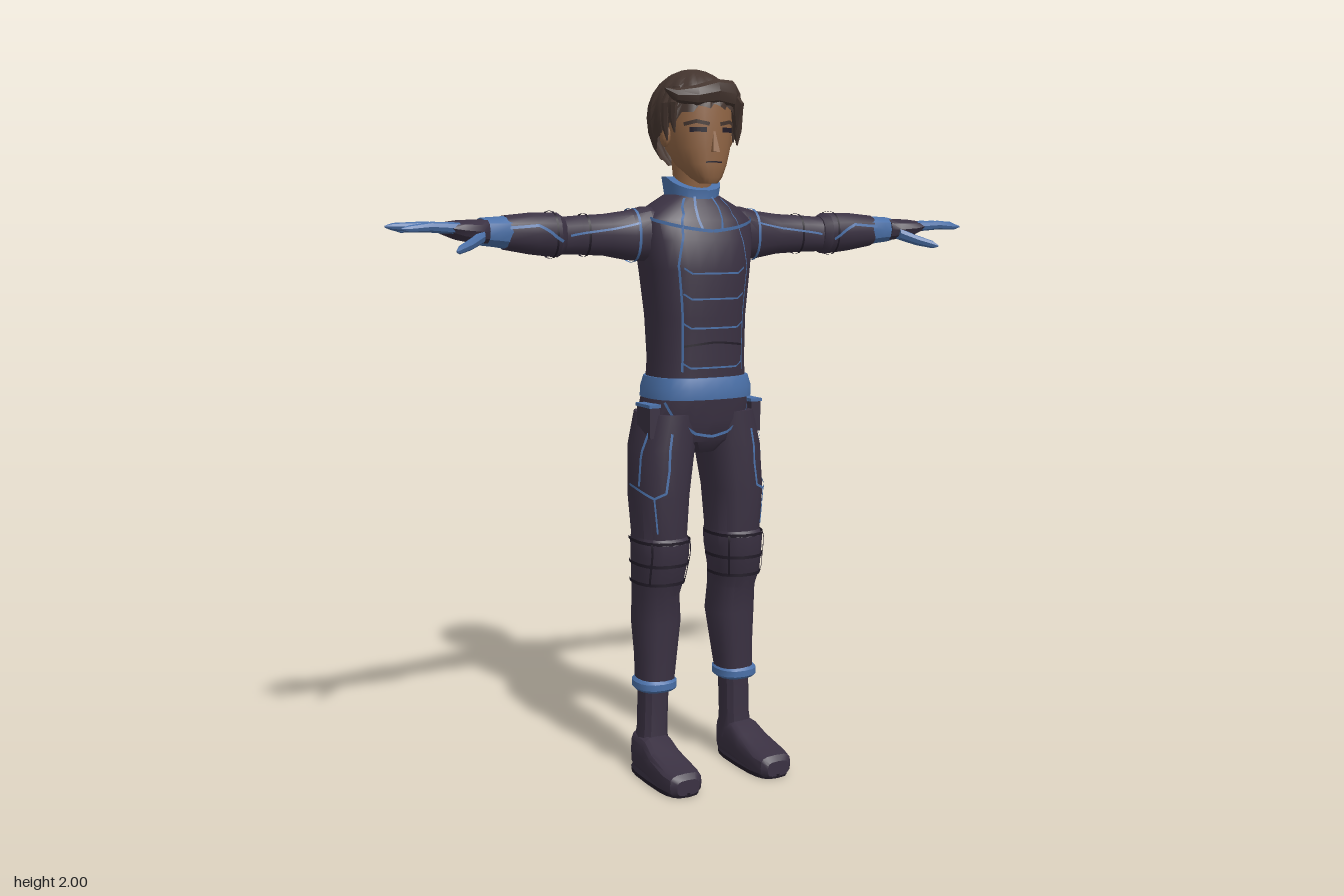
import * as THREE from 'three';
import { toCreasedNormals } from 'three/addons/utils/BufferGeometryUtils.js';

const mat = (name, color, side = THREE.FrontSide) => {
  const m = new THREE.MeshStandardMaterial({ color, side });
  m.name = name;
  return m;
};

// A loft is a list of rounded sections [s, ca, cb, ra, rb] along one axis, s ascending.
const place = {
  y: (s, a, b) => new THREE.Vector3(a, s, b),
  x: (s, a, b) => new THREE.Vector3(s, b, a),
  z: (s, a, b) => new THREE.Vector3(b, a, s),
};
const power = (v, e) => Math.sign(v) * Math.abs(v) ** e;

function sectionAt(loft, s) {
  const q = loft.sections;
  let i = 0;
  while (i < q.length - 2 && s > q[i + 1][0]) i++;
  const t = THREE.MathUtils.clamp((s - q[i][0]) / (q[i + 1][0] - q[i][0]), 0, 1);
  return q[i].map((v, k) => v + (q[i + 1][k] - v) * t);
}
function pointOn(loft, s, u, lift = 0) {
  const [, ca, cb, ra, rb] = sectionAt(loft, s);
  const e = 2 / loft.p;
  return place[loft.axis](s, ca + (ra + lift) * power(Math.cos(u), e), cb + (rb + lift) * power(Math.sin(u), e));
}
const makeLoft = (axis, sections, n = 16, p = 2.4) => ({ axis, sections, n, p });

function gridGeometry(points, rows, cols, caps) {
  const index = [];
  for (let i = 0; i < rows - 1; i++)
    for (let j = 0; j < cols; j++) {
      const a = i * cols + j, b = i * cols + ((j + 1) % cols);
      index.push(a, a + cols, b, b, a + cols, b + cols);
    }
  if (caps)
    for (let j = 1; j < cols - 1; j++) {
      const t = (rows - 1) * cols;
      index.push(0, j, j + 1, t, t + j + 1, t + j);
    }
  const g = new THREE.BufferGeometry().setFromPoints(points);
  g.setIndex(index);
  return g;
}
function loftGeometry(loft) {
  const pts = [];
  for (const q of loft.sections)
    for (let j = 0; j < loft.n; j++) pts.push(pointOn(loft, q[0], (j / loft.n) * Math.PI * 2));
  return gridGeometry(pts, loft.sections.length, loft.n, true);
}

// Thin strip lying on a loft; path is a list of [s, angle]
function ribbonGeometry(loft, path, width, lift = 0.004) {
  const pts = [], mids = [];
  for (let i = 0; i < path.length - 1; i++)
    for (let k = 0; k <= 10; k++) {
      if (k === 0 && i > 0) continue;
      const t = k / 10, [a, b] = [path[i], path[i + 1]];
      const s = a[0] + (b[0] - a[0]) * t, u = a[1] + (b[1] - a[1]) * t;
      const c = sectionAt(loft, s);
      const p = pointOn(loft, s, u, lift);
      mids.push({ p, n: p.clone().sub(place[loft.axis](s, c[1], c[2])).normalize() });
    }
  mids.forEach(({ p, n }, i) => {
    const d = mids[Math.min(i + 1, mids.length - 1)].p.clone().sub(mids[Math.max(i - 1, 0)].p);
    const side = d.cross(n).normalize().multiplyScalar(width / 2);
    pts.push(p.clone().sub(side), p.clone().add(side));
  });
  const index = [];
  for (let i = 0; i < mids.length - 1; i++) index.push(2 * i, 2 * i + 1, 2 * i + 2, 2 * i + 1, 2 * i + 3, 2 * i + 2);
  return new THREE.BufferGeometry().setFromPoints(pts).setIndex(index);
}
// Converts [x, y] on the front or back of an upright loft to [s, angle]
function onFace(loft, list, back = false) {
  return list.map(([x, y]) => {
    const [, ca, , ra] = sectionAt(loft, y);
    const r = THREE.MathUtils.clamp((x - ca) / ra, -1, 1);
    const u = Math.acos(power(r, loft.p / 2));
    return [y, back ? -u : u];
  });
}

export function createModel() {
  const model = new THREE.Group();
  model.name = 'suitedFigure';
  const suit = mat('darkSuit', 0x3a3142, THREE.DoubleSide);
  const blue = mat('blueTrim', 0x4a70a8, THREE.DoubleSide);
  const skin = mat('skin', 0x8f6444);
  const hairMat = mat('brownHair', 0x43342e, THREE.DoubleSide);
  const seam = mat('darkSeam', 0x211b27, THREE.DoubleSide);

  const add = (name, geo, m) => {
    const mesh = new THREE.Mesh(toCreasedNormals(geo, 0.55), m);
    mesh.name = name;
    model.add(mesh);
    return mesh;
  };
  const pair = (name, geo, m) => {
    add(name + 'Left', geo, m);
    const g = geo.clone().scale(-1, 1, 1);
    g.setIndex(Array.from(geo.index.array).reverse());
    add(name + 'Right', g, m);
  };
  const solid = (name, m, ...args) => add(name, loftGeometry(makeLoft(...args)), m);
  const solids = (name, m, ...args) => pair(name, loftGeometry(makeLoft(...args)), m);

  // Torso
  const torso = makeLoft('y', [
    [1.1, 0, -0.037, 0.142, 0.112], [1.2, 0, -0.033, 0.137, 0.108], [1.32, 0, -0.037, 0.14, 0.117],
    [1.45, 0, -0.04, 0.155, 0.125], [1.53, 0, -0.045, 0.168, 0.12], [1.585, 0, -0.052, 0.17, 0.103],
    [1.62, 0, -0.057, 0.135, 0.088], [1.655, 0, -0.062, 0.075, 0.066]], 28, 2.6);
  add('torso', loftGeometry(torso), suit);
  for (const back of [false, true]) {
    const tag = back ? 'back' : 'chest';
    const line = (list, w = 0.007) => pair(tag + 'Piping', ribbonGeometry(torso, onFace(torso, list, back), w), blue);
    line([[0, back ? 1.575 : 1.555], [0.08, 1.565], [0.155, 1.59]], 0.009);
    line([[0.055, 1.645], [0.075, 1.6], [0.09, 1.54], [0.105, 1.46], [0.095, 1.36], [0.092, 1.17]]);
    if (!back) line([[0.025, 1.65], [0.03, 1.56]]);
    const rows = back ? [1.4, 1.33, 1.27] : [1.44, 1.37, 1.29, 1.18];
    for (const y of rows) line([[0, y], [0.07, y], [0.092, y + 0.015]], 0.005);
    pair(tag + 'Seam', ribbonGeometry(torso, onFace(torso, [[0, 1.25], [0.09, 1.24]], back), 0.006), seam);
  }

  // Collar, dipping at the throat
  const collar = loftGeometry(makeLoft('y', [
    [1.62, 0, -0.06, 0.092, 0.078], [1.65, 0, -0.06, 0.072, 0.07], [1.705, 0, -0.06, 0.08, 0.078]], 18));
  const cp = collar.attributes.position;
  for (let i = 0; i < cp.count; i++)
    cp.setY(i, cp.getY(i) - Math.max(0, cp.getZ(i) + 0.06) * 0.5);
  add('collar', collar, blue);

  // Belt and hips
  solid('belt', blue, 'y', [[1.092, 0, -0.035, 0.155, 0.127], [1.12, 0, -0.033, 0.155, 0.127], [1.152, 0, -0.033, 0.146, 0.118]], 28, 2.6);
  const hips = makeLoft('y', [
    [0.935, 0, -0.045, 0.05, 0.07], [0.97, 0, -0.05, 0.12, 0.105], [1.03, 0, -0.05, 0.165, 0.116], [1.095, 0, -0.045, 0.15, 0.118]], 24, 2.5);
  add('hips', loftGeometry(hips), suit);
  pair('hipPiping', ribbonGeometry(hips, onFace(hips, [[0, 0.985], [0.05, 0.995], [0.11, 1.04], [0.13, 1.085]]), 0.008), blue);
  const pouch = new THREE.BoxGeometry(0.03, 0.09, 0.08).translate(0.163, 1.03, -0.01);
  pair('hipPouch', pouch, suit);
  pair('pouchTrim', new THREE.BoxGeometry(0.036, 0.009, 0.086).translate(0.163, 1.075, -0.01), blue);

  // Legs
  const leg = makeLoft('y', [
    [0.265, 0.132, -0.04, 0.053, 0.058], [0.35, 0.126, -0.045, 0.058, 0.066], [0.45, 0.122, -0.05, 0.067, 0.076],
    [0.53, 0.125, -0.045, 0.063, 0.076], [0.58, 0.125, -0.032, 0.07, 0.083], [0.65, 0.12, -0.028, 0.075, 0.096],
    [0.685, 0.12, -0.028, 0.076, 0.098], [0.7, 0.12, -0.032, 0.072, 0.09], [0.82, 0.12, -0.035, 0.08, 0.1],
    [0.95, 0.107, -0.043, 0.087, 0.108], [1.05, 0.088, -0.045, 0.082, 0.108]], 16);
  pair('trouserLeg', loftGeometry(leg), suit);
  const legLine = (path, w = 0.007, m = blue) => pair(m === blue ? 'legPiping' : 'legSeam', ribbonGeometry(leg, path, w), m);
  legLine([[1.0, 1.3], [0.9, 1.35], [0.835, 1.3], [0.82, 0.9], [0.84, 0.3], [0.85, -0.1]]);
  legLine([[0.82, 0.9], [0.72, 1.0]], 0.005);
  legLine([[1.0, 0.5], [0.93, 0.35], [0.85, 0.3]]);
  for (const y of [0.69, 0.625, 0.57]) legLine([[y, -0.6], [y, 3.4]], 0.009, seam);
  for (const u of [0.75, 2.3]) legLine([[0.69, u], [0.57, u]], 0.006, seam);
  solids('trouserCuff', blue, 'y', [
    [0.25, 0.133, -0.04, 0.055, 0.06], [0.257, 0.133, -0.04, 0.061, 0.066], [0.275, 0.133, -0.04, 0.061, 0.066], [0.283, 0.133, -0.04, 0.053, 0.058]], 16);

  // Boots
  solids('bootShaft', suit, 'y', [[0.06, 0.142, -0.045, 0.048, 0.05], [0.14, 0.137, -0.046, 0.041, 0.045], [0.26, 0.134, -0.045, 0.042, 0.046]], 12);
  solids('bootFoot', suit, 'z', [
    [-0.1, 0.05, 0.143, 0.045, 0.033], [-0.08, 0.06, 0.143, 0.06, 0.046], [0.0, 0.058, 0.144, 0.058, 0.05],
    [0.05, 0.046, 0.146, 0.046, 0.054], [0.14, 0.035, 0.147, 0.035, 0.057], [0.175, 0.032, 0.147, 0.032, 0.05], [0.19, 0.028, 0.147, 0.022, 0.035]], 16, 3.4);
  solids('bootSole', seam, 'y', [[0, 0.146, 0.045, 0.057, 0.145], [0.012, 0.146, 0.045, 0.058, 0.146]], 20, 3.2);

  // Arms
  const arm = makeLoft('x', [
    [0.1, -0.06, 1.54, 0.07, 0.075], [0.15, -0.06, 1.547, 0.07, 0.077], [0.2, -0.058, 1.543, 0.058, 0.069],
    [0.27, -0.053, 1.545, 0.05, 0.058], [0.36, -0.045, 1.545, 0.045, 0.053], [0.43, -0.035, 1.543, 0.044, 0.05]], 14);
  pair('upperArm', loftGeometry(arm), suit);
  const forearm = makeLoft('x', [
    [0.41, -0.035, 1.545, 0.046, 0.05], [0.43, -0.032, 1.546, 0.058, 0.06], [0.5, -0.026, 1.55, 0.056, 0.056], [0.58, -0.02, 1.553, 0.047, 0.045]], 14);
  pair('forearm', loftGeometry(forearm), suit);
  const ring = (name, l, s, w, m) => pair(name, ribbonGeometry(l, [[s, 0], [s, Math.PI], [s, Math.PI * 2]], w), m);
  ring('shoulderPiping', arm, 0.19, 0.008, blue);
  ring('sleeveSeam', arm, 0.34, 0.007, seam);
  ring('elbowSeam', forearm, 0.445, 0.006, seam);
  for (const u of [0, 3.14]) {
    pair('sleevePiping', ribbonGeometry(arm, [[0.19, u + 0.4], [0.27, u + 0.2], [0.4, u]], 0.006), blue);
    pair('forearmPiping', ribbonGeometry(forearm, [[0.43, u - 0.2], [0.5, u + 0.3], [0.58, u + 0.2]], 0.008), blue);
  }

  // Gloves
  solids('gloveCuff', blue, 'x', [[0.565, -0.02, 1.553, 0.047, 0.044], [0.61, -0.017, 1.555, 0.048, 0.039], [0.645, -0.015, 1.556, 0.042, 0.036]], 12);
  solids('palm', suit, 'x', [
    [0.635, -0.014, 1.556, 0.046, 0.034], [0.66, -0.01, 1.556, 0.056, 0.031], [0.71, -0.008, 1.56, 0.064, 0.026], [0.745, -0.012, 1.565, 0.06, 0.016]], 12);
  const fingers = [[-0.06, 0.855, -0.09, 1.562], [-0.03, 0.885, -0.055, 1.568], [0.0, 0.9, -0.01, 1.57], [0.034, 0.875, 0.045, 1.564]];
  for (const [z0, xt, z1, yt] of fingers)
    solids('finger', blue, 'x', [
      [0.72, z0, 1.565, 0.014, 0.015], [(0.72 + xt) / 2, (z0 + z1) / 2, 1.569, 0.013, 0.013],
      [xt - 0.02, z1 * 0.88 + z0 * 0.12, yt, 0.009, 0.009], [xt, z1, yt, 0.002, 0.002]], 8, 2);
  solids('thumb', blue, 'x', [
    [0.655, 0.03, 1.545, 0.018, 0.018], [0.7, 0.06, 1.525, 0.018, 0.015], [0.74, 0.088, 1.512, 0.011, 0.011], [0.752, 0.1, 1.508, 0.003, 0.003]], 8, 2);

  // Neck and head
  solid('neck', skin, 'y', [[1.6, 0, -0.06, 0.058, 0.058], [1.7, 0, -0.05, 0.054, 0.056], [1.78, 0, -0.05, 0.06, 0.07]], 16, 2);
  const head = makeLoft('y', [
    [1.685, 0, 0.04, 0.026, 0.022], [1.7, 0, 0.028, 0.042, 0.042], [1.735, 0, 0, 0.066, 0.072], [1.78, 0, -0.02, 0.084, 0.094],
    [1.85, 0, -0.035, 0.095, 0.11], [1.92, 0, -0.04, 0.092, 0.11], [1.96, 0, -0.045, 0.06, 0.075]], 24, 2.3);
  add('head', loftGeometry(head), skin);
  const nose = new THREE.ConeGeometry(0.018, 0.075, 4).rotateY(Math.PI / 4).scale(0.8, 1, 1.35).translate(0, 1.806, 0.07);
  add('nose', nose, skin);
  pair('ear', new THREE.SphereGeometry(1, 10, 8).scale(0.014, 0.032, 0.02).translate(0.099, 1.815, -0.025), skin);
  const faceLine = (name, list, w, m) => pair(name, ribbonGeometry(head, onFace(head, list), w, 0.003), m);
  faceLine('eyebrow', [[0.016, 1.843], [0.05, 1.85], [0.075, 1.842]], 0.01, hairMat);
  faceLine('eye', [[0.024, 1.828], [0.064, 1.828]], 0.013, seam);
  faceLine('mouth', [[0, 1.742], [0.024, 1.741]], 0.004, seam);

  // Hair cap with combed ridges, longer at the nape
  const rows = 10, cols = 48, pts = [];
  for (let i = 0; i < rows; i++)
    for (let j = 0; j < cols; j++) {
      const t = (j / cols) * Math.PI * 2;
      const end = THREE.MathUtils.degToRad(112 - 35 * Math.cos(t) + (j % 3) * 3);
      const a = Math.max(0.01, (i / (rows - 1)) * end);
      const r = Math.sin(a) * (1 + (j % 3 === 0 ? -0.04 : 0.01));
      const y = 1.868 + Math.cos(a) * (a < Math.PI / 2 ? 0.13 : 0.16);
      pts.push(new THREE.Vector3(Math.sin(t) * r * 0.12, y, -0.055 + Math.cos(t) * r * 0.137));
    }
  add('hairCap', gridGeometry(pts, rows, cols, false), hairMat);

  // Swept fringe and side locks
  solid('fringe', hairMat, 'x', [
    [-0.125, 0.025, 1.935, 0.004, 0.004], [-0.1, 0.035, 1.918, 0.018, 0.018], [-0.05, 0.06, 1.918, 0.022, 0.028],
    [0.01, 0.066, 1.93, 0.023, 0.034], [0.07, 0.05, 1.925, 0.025, 0.038], [0.11, 0.015, 1.91, 0.015, 0.03]], 8, 2);
  const locks = [[0.082, 0.055, 1.83, 0.022], [0.1, 0.025, 1.79, 0.02], [0.108, -0.01, 1.8, 0.016], [-0.1, 0.02, 1.82, 0.017], [-0.107, -0.01, 1.8, 0.016]];
  for (const [x, z, tip, r] of locks)
    solid('sideLock', hairMat, 'y', [
      [tip, x * 0.97, z + 0.006, 0.002, 0.002], [tip + 0.04, x, z, r * 0.55, r * 0.9],
      [1.9, x, z, r * 0.7, r * 1.3], [1.945, x * 0.8, z * 0.7 - 0.01, r * 0.5, r]], 7, 2);
  return model;
}
